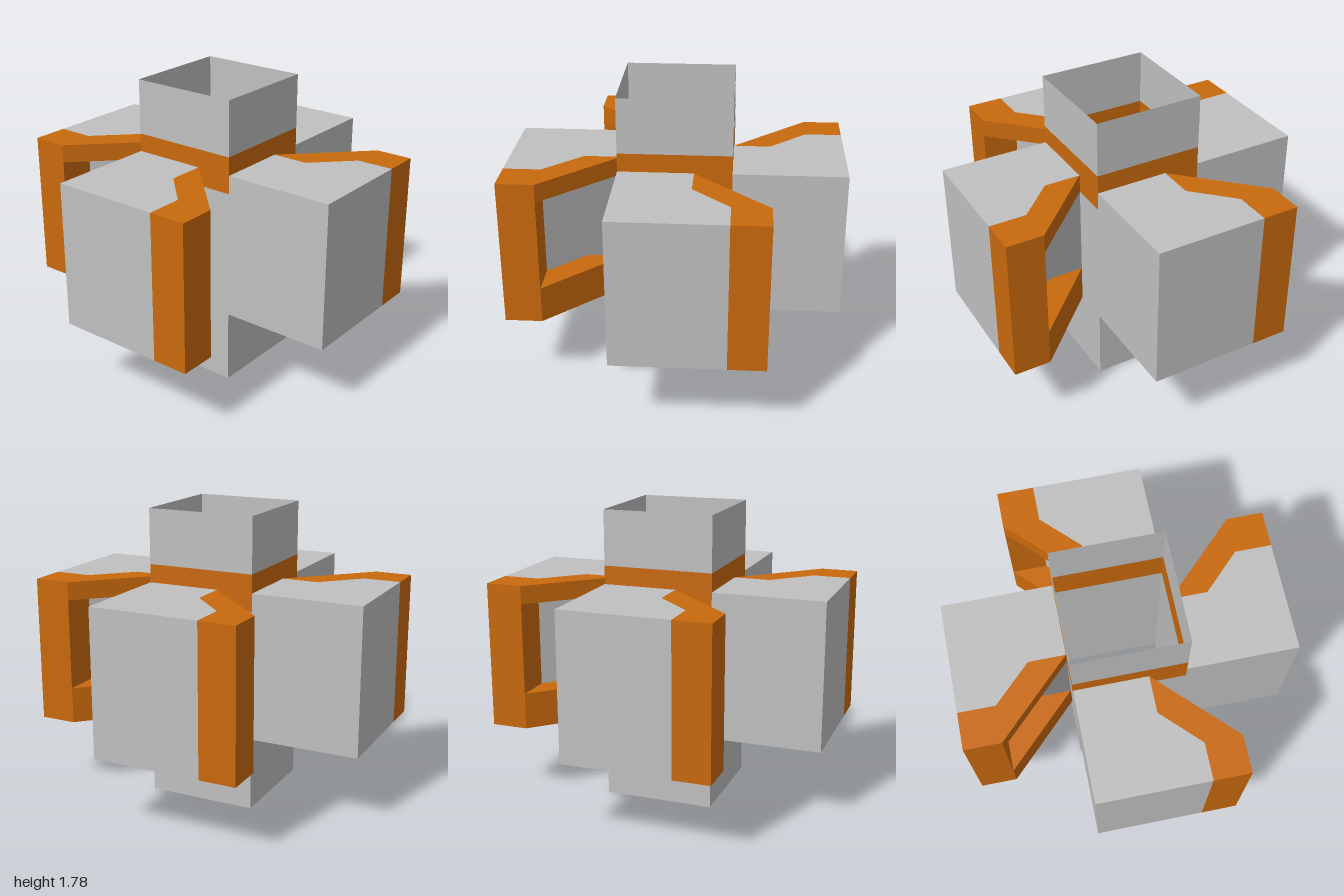
import * as THREE from 'three';
import { mergeGeometries } from 'three/addons/utils/BufferGeometryUtils.js';

const U = 1 / 9; // grid step of the design
const V = (x, z) => new THREE.Vector2(x * U, z * U);

// Upright sheet from a to b, seen from the side to the right of the path
function wall(a, b, y0, y1) {
  const g = new THREE.BufferGeometry();
  const p = [a.x, y0 * U, a.y, b.x, y0 * U, b.y, b.x, y1 * U, b.y, a.x, y1 * U, a.y];
  g.setAttribute('position', new THREE.Float32BufferAttribute(p, 3));
  g.setIndex([0, 1, 2, 0, 2, 3]);
  g.computeVertexNormals();
  return g;
}

// Chain of upright sheets along a path
function walls(path, y0, y1) {
  return path.slice(1).map((b, i) => wall(path[i], b, y0, y1));
}

// Level sheet with a polygon outline
function plate(points, y) {
  const g = new THREE.ShapeGeometry(new THREE.Shape(points.map(p => new THREE.Vector2(p.x, -p.y))));
  g.deleteAttribute('uv');
  return g.rotateX(-Math.PI / 2).translate(0, y * U, 0);
}

function mesh(name, parts, material) {
  const m = new THREE.Mesh(mergeGeometries(parts), material);
  m.name = name;
  return m;
}

export function createModel() {
  const gray = new THREE.MeshStandardMaterial({ color: 0xc0c0c0, side: THREE.DoubleSide });
  gray.name = 'light gray';
  const orange = new THREE.MeshStandardMaterial({ color: 0xc9690d, side: THREE.DoubleSide });
  orange.name = 'orange';

  const model = new THREE.Group();
  model.name = 'crossShapedHousing';

  // Open square column with a painted collar
  const square = [V(-3, 3), V(3, 3), V(3, -3), V(-3, -3), V(-3, 3)];
  model.add(
    mesh('column', [...walls(square, 0, 11), ...walls(square, 13, 16)], gray),
    mesh('columnCollar', walls(square, 11, 13), orange)
  );

  // Outer and inner lines of the orange edge, from the column outwards
  const outer = [V(1, 3), V(5, 7), V(5, 9)];
  const inner = [V(3, 9), V(3, 7), V(1, 5)];
  const band = [...outer, ...inner];

  for (let i = 0; i < 4; i++) {
    const arm = new THREE.Group();
    arm.name = 'arm' + (i + 1);

    // Hollow shell, open underneath
    arm.add(mesh('armShell', [
      ...walls([V(-3, 3), V(-3, 9), V(3, 9)], 4, 12),
      plate([V(-3, 3), V(1, 3), V(1, 5), V(3, 7), V(3, 9), V(-3, 9)], 12)
    ], gray));

    // Orange edge with a window in its slanted face
    arm.add(mesh('armEdge', [
      ...walls([V(3, 9), V(5, 9), V(5, 7)], 4, 12),
      wall(V(5, 7), V(1, 3), 4, 6),
      wall(V(5, 7), V(1, 3), 11, 12),
      plate(band, 12)
    ], orange));

    // Ledges and jamb of the window
    const recess = [V(1, 3), V(5, 7), V(3, 7), V(1, 5)];
    arm.add(mesh('windowFrame', [
      plate(recess, 6),
      plate(recess, 11).scale(1, 1, 1),
      wall(V(5, 7), V(3, 7), 6, 11)
    ], orange));

    // Recessed back panel, shaded as one smooth surface
    const panel = mesh('windowPanel', walls([V(3, 7), V(1, 5), V(1, 3)], 6, 11), gray);
    const n = panel.geometry.attributes.normal;
    for (let k = 0; k < n.count; k++) n.setXYZ(k, Math.SQRT1_2, 0, -Math.SQRT1_2);
    arm.add(panel);

    arm.rotation.y = i * Math.PI / 2;
    model.add(arm);
  }
  return model;
}
